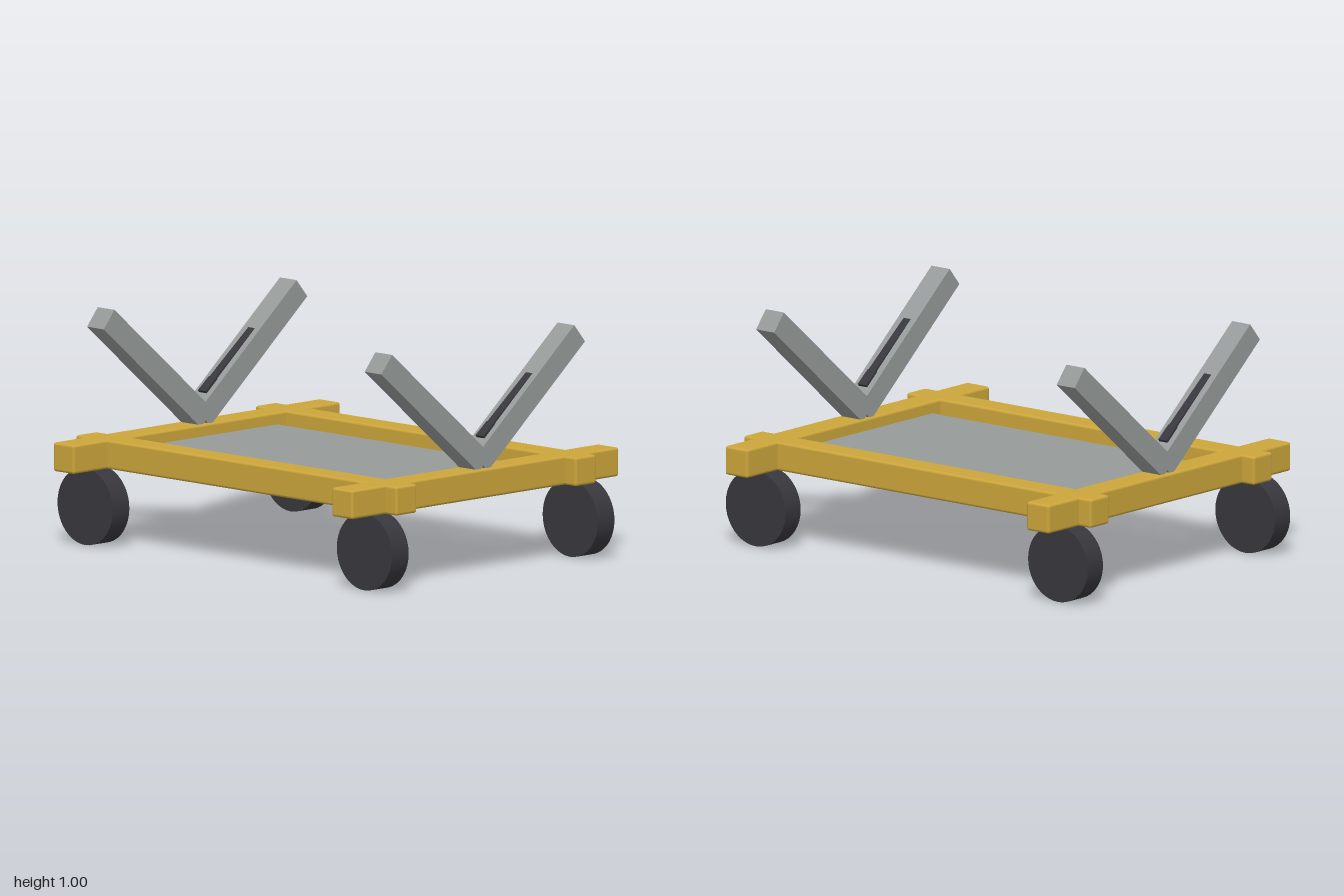
import * as THREE from 'three';
import { RoundedBoxGeometry } from 'three/addons/geometries/RoundedBoxGeometry.js';

export function createModel() {
  const root = new THREE.Group();
  root.name = 'cart';

  const yellow = new THREE.MeshStandardMaterial({ color: 0xcca63b });
  yellow.name = 'yellow frame';
  const grey = new THREE.MeshStandardMaterial({ color: 0x969b9a });
  grey.name = 'grey metal';
  const dark = new THREE.MeshStandardMaterial({ color: 0x38373d });
  dark.name = 'dark rubber';

  const add = (parent, name, geometry, material, x, y, z) => {
    const mesh = new THREE.Mesh(geometry, material);
    mesh.name = name;
    mesh.position.set(x, y, z);
    parent.add(mesh);
    return mesh;
  };

  // Frame rails crossing at the corners
  const crossRail = new RoundedBoxGeometry(1.92, 0.125, 0.125, 2, 0.012);
  const sideRail = new RoundedBoxGeometry(0.125, 0.125, 1.6, 2, 0.012);
  for (const s of [-1, 1]) {
    add(root, 'crossRail', crossRail, yellow, 0, 0.3875, s * 0.5375);
    add(root, 'sideRail', sideRail, yellow, s * 0.8325, 0.3875, 0);
  }

  // Sunken deck
  add(root, 'deck', new RoundedBoxGeometry(1.54, 0.07, 0.84, 2, 0.006), grey, 0, 0.365, 0);

  // Four wheels with their axles along z
  const wheel = new THREE.CylinderGeometry(0.165, 0.165, 0.1, 40).rotateX(Math.PI / 2);
  for (const x of [-0.835, 0.835]) {
    for (const z of [-0.617, 0.617]) add(root, 'wheel', wheel, dark, x, 0.165, z);
  }

  // V-shaped cradles: two leaning arms each, with a dark pad on the inner face
  const armGeometry = new THREE.BoxGeometry(0.1, 0.1, 0.763);
  const padGeometry = new THREE.BoxGeometry(0.038, 0.02, 0.38);
  const padFootGeometry = new THREE.BoxGeometry(0.046, 0.02, 0.085);
  for (const x of [-0.83, 0.83]) {
    const cradle = new THREE.Group();
    cradle.name = 'cradle';
    cradle.position.x = x;
    root.add(cradle);
    for (const turn of [0, Math.PI]) {
      const side = new THREE.Group();
      side.name = 'cradleSide';
      side.rotation.y = turn;
      cradle.add(side);

      const arm = add(side, 'arm', armGeometry, grey, 0, 0.718, 0.286);
      arm.rotation.x = -40 * Math.PI / 180;

      // The pad rises slightly toward the base of the V
      const pad = add(arm, 'pad', padGeometry, dark, 0, 0.0465, -0.096);
      pad.rotation.x = 0.028;
      add(pad, 'padFoot', padFootGeometry, dark, 0, 0.0005, -0.1475);
    }
  }

  return root;
}
